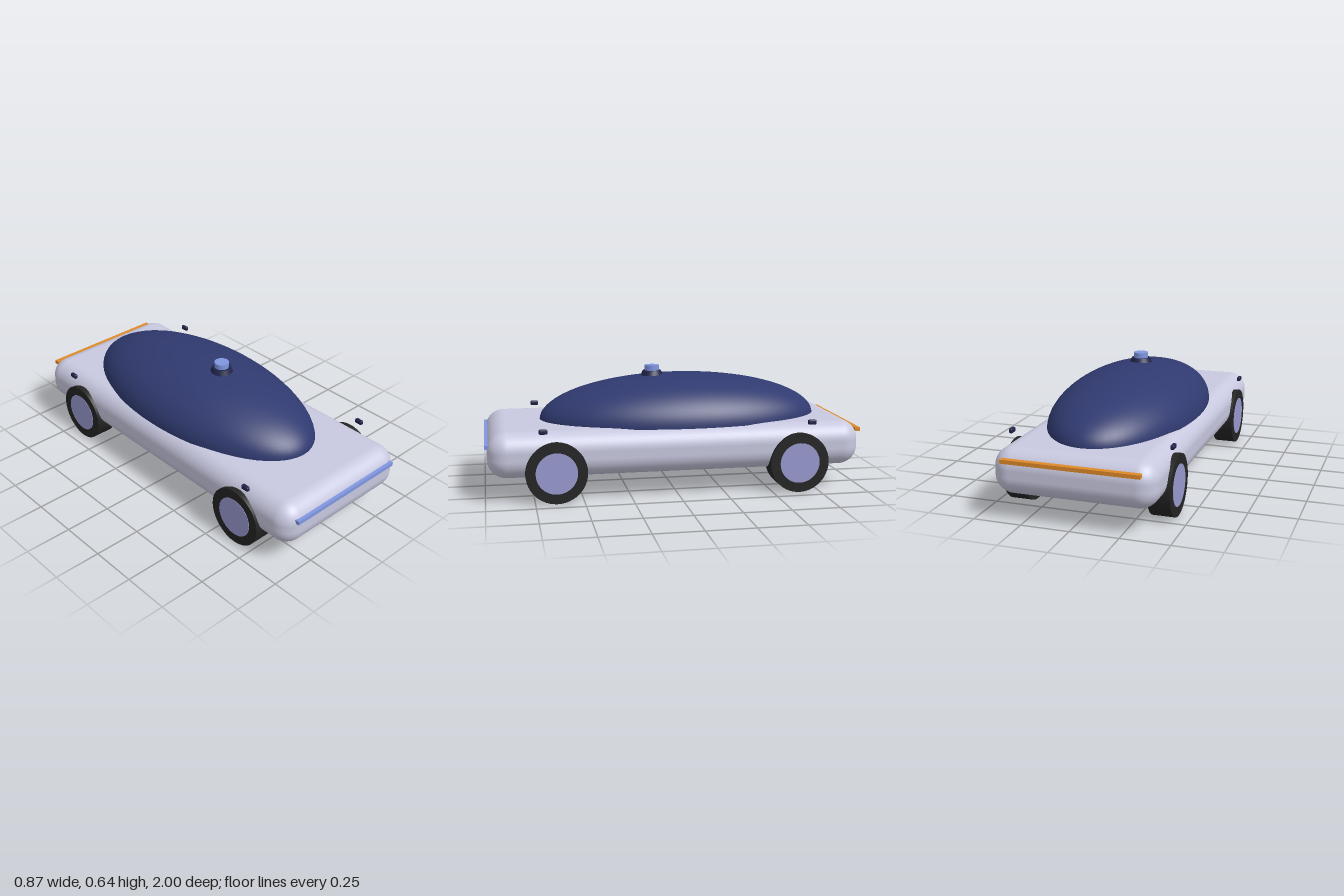
import * as THREE from 'three';
import { RoundedBoxGeometry } from 'three/addons/geometries/RoundedBoxGeometry.js';

const mat = (name, color, side = THREE.FrontSide) => {
  const m = new THREE.MeshStandardMaterial({ color, side });
  m.name = name;
  return m;
};

export function createModel() {
  const silver = mat('silver paint', 0xc8c8e0);
  const glass = mat('navy glass', 0x303a70, THREE.DoubleSide);
  const darkNavy = mat('dark navy', 0x20244a);
  const rubber = mat('rubber', 0x242424);
  const hubPaint = mat('hub lilac', 0x9a9ad0);
  const blueLight = mat('blue light', 0x8096e0);
  const amber = mat('amber light', 0xe08a28);

  const car = new THREE.Group();
  car.name = 'car';
  const add = (name, geometry, material, x, y, z, parent = car) => {
    const mesh = new THREE.Mesh(geometry, material);
    mesh.name = name;
    mesh.position.set(x, y, z);
    parent.add(mesh);
    return mesh;
  };

  // Rounded body slab
  add('body', new RoundedBoxGeometry(0.836, 0.239, 1.972, 8, 0.1), silver, 0, 0.2425, 0);

  // Half-ellipsoid canopy, set slightly to the rear
  const dome = new THREE.SphereGeometry(1, 64, 24, 0, Math.PI * 2, 0, Math.PI / 2);
  dome.scale(0.385, 0.24, 0.766);
  add('canopy', dome, glass, 0, 0.355, -0.068);

  // Roof sensor on a tapered mount
  add('sensorMount', new THREE.CylinderGeometry(0.05, 0.061, 0.027, 32), darkNavy, 0, 0.5985, 0.08);
  add('sensor', new THREE.CylinderGeometry(0.039, 0.039, 0.05, 32), blueLight, 0, 0.616, 0.08);

  // Full-width light bars
  add('frontLightBar', new THREE.BoxGeometry(0.704, 0.02, 0.03), blueLight, 0, 0.29, 0.982);
  add('rearLightBar', new THREE.BoxGeometry(0.704, 0.02, 0.03), amber, 0, 0.311, -0.985);

  // Wheels and corner sensors
  const tyre = new THREE.CylinderGeometry(0.158, 0.158, 0.115, 48).rotateZ(Math.PI / 2);
  const hub = new THREE.CylinderGeometry(0.107, 0.107, 0.119, 48).rotateZ(Math.PI / 2);
  const pod = new RoundedBoxGeometry(0.021, 0.025, 0.044, 3, 0.007);
  for (const sx of [1, -1]) {
    for (const sz of [1, -1]) {
      const label = (sz > 0 ? 'front' : 'rear') + (sx > 0 ? 'Left' : 'Right');
      const wheel = new THREE.Group();
      wheel.name = label + 'Wheel';
      wheel.position.set(sx * 0.376, 0.159, sz * 0.64);
      car.add(wheel);
      add('tyre', tyre, rubber, 0, 0, 0, wheel);
      add('hub', hub, hubPaint, 0, 0, 0, wheel);
      add(label + 'CornerSensor', pod, darkNavy, sx * 0.4215, 0.375, sz * 0.704);
    }
  }
  return car;
}
